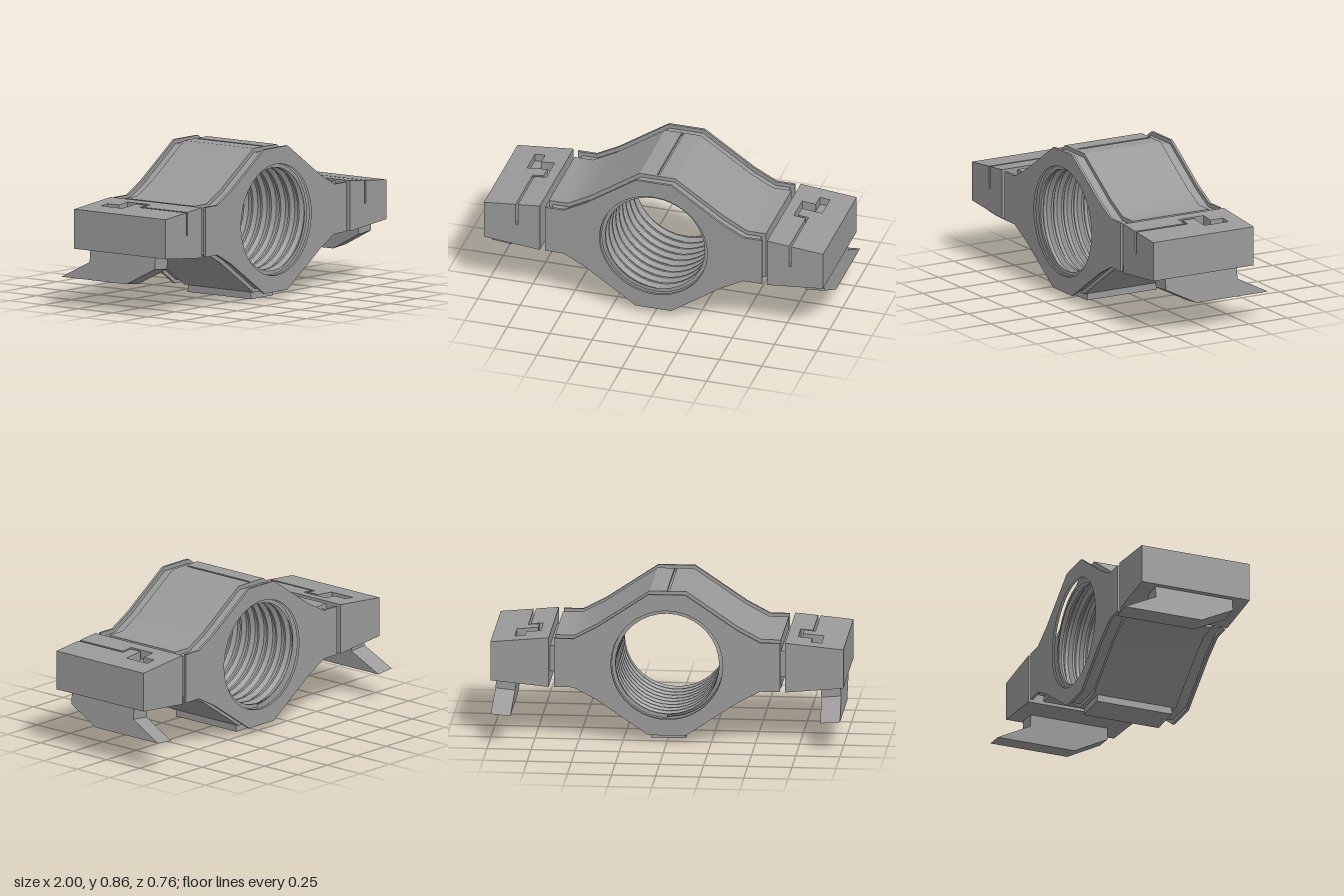
import * as THREE from 'three';
import { toCreasedNormals } from 'three/addons/utils/BufferGeometryUtils.js';

const material = new THREE.MeshStandardMaterial({ color: 0x9a9a9a });
const threadMaterial = new THREE.MeshStandardMaterial({ color: 0x9a9a9a, side: THREE.DoubleSide });
const CY = 0.452; // height of the bore axis

const shapeOf = (pts) => new THREE.Shape(pts.map(([x, y]) => new THREE.Vector2(x, y)));

const extrude = (shape, depth) =>
  new THREE.ExtrudeGeometry(shape, { depth, bevelEnabled: false, curveSegments: 40 });

// Moves every vertex by a rule, then restores flat normals.
function reshape(geometry, rule) {
  const p = geometry.attributes.position;
  const v = new THREE.Vector3();
  for (let i = 0; i < p.count; i++) {
    rule(v.fromBufferAttribute(p, i));
    p.setXYZ(i, v.x, v.y, v.z);
  }
  geometry.computeVertexNormals();
  return geometry;
}

function add(parent, name, geometry, mat = material) {
  const mesh = new THREE.Mesh(geometry, mat);
  mesh.name = name;
  parent.add(mesh);
}

// Symmetric body outline from one quarter; slot cuts a notch in the top.
function bodyShape(quarter, slot) {
  const flip = (sx, sy) => quarter.map(([x, y]) => [x * sx, CY + y * sy]);
  const top = CY + quarter[0][1];
  const notch = slot
    ? [[-0.007, top], [-0.007, top - 0.012], [0.007, top - 0.012], [0.007, top]]
    : [];
  const shape = shapeOf([
    ...notch,
    ...flip(1, 1),
    ...flip(1, -1).reverse(),
    ...flip(-1, -1),
    ...flip(-1, 1).reverse(),
  ]);
  shape.holes.push(new THREE.Path().absarc(0, CY, 0.317, 0, Math.PI * 2, true));
  return shape;
}

function addBody(root) {
  const body = new THREE.Group();
  body.name = 'body';
  root.add(body);
  const full = [[0.105, 0.411], [0.4, 0.211], [0.53, 0.142], [0.64, 0.142]];
  const inset = [[0.1, 0.388], [0.39, 0.19], [0.525, 0.119], [0.613, 0.119]];
  const layers = [
    ['backFlange', full, -0.28, -0.265],
    ['backGroove', inset, -0.265, -0.2],
    ['backShell', full, -0.2, -0.19],
    ['slottedShell', full, -0.19, 0.28, true],
    ['frontShell', full, 0.28, 0.3],
    ['frontGroove', inset, 0.3, 0.365],
    ['frontFlange', full, 0.365, 0.38],
  ];
  for (const [name, quarter, z0, z1, slot] of layers) {
    const g = extrude(bodyShape(quarter, slot), z1 - z0).translate(0, 0, z0);
    add(body, name, toCreasedNormals(g, 0.54));
  }
}

// Helical thread: a trapezoid profile turned round the bore, rising one pitch per turn.
function addThread(root) {
  const z0 = -0.25, z1 = 0.35, turns = 9, seg = 36;
  const pitch = (z1 - z0) / turns;
  const profile = [];
  for (let k = -1; k <= turns; k++) {
    for (const [t, r] of [[0, 0.294], [0.2, 0.294], [0.45, 0.316], [0.75, 0.316]]) {
      profile.push(new THREE.Vector2(r, z0 + (k + t) * pitch));
    }
  }
  const g = new THREE.LatheGeometry(profile, seg);
  const p = g.attributes.position;
  for (let i = 0; i < p.count; i++) {
    const rise = (Math.floor(i / profile.length) / seg) * pitch;
    p.setY(i, THREE.MathUtils.clamp(p.getY(i) + rise, z0, z1));
  }
  g.rotateX(Math.PI / 2).translate(0, CY, 0);
  add(root, 'boreThread', toCreasedNormals(g, 0.35), threadMaterial);
}

function addEnd(root, s) {
  const end = new THREE.Group();
  end.name = s > 0 ? 'leftEnd' : 'rightEnd';
  root.add(end);

  // Neck joining the end block to the body
  add(end, 'neck', new THREE.BoxGeometry(0.1, 0.15, 0.47).translate(s * 0.655, CY, 0.045));

  // Lower half of the tapered block
  const lower = [[0.67, 0.309], [1, 0.34], [1, CY], [0.67, CY]].map(([x, y]) => [x * s, y]);
  add(end, 'lowerBlock', extrude(shapeOf(lower), 0.66).translate(0, 0, -0.28));

  // Upper half, whose plan holds the stepped slot open at the front
  const plan = [
    [0.67, -0.28], [1, -0.28], [1, 0.38], [0.813, 0.38], [0.813, 0.042], [0.75, 0.042],
    [0.75, -0.035], [0.87, -0.035], [0.87, -0.19], [0.81, -0.19], [0.81, -0.11],
    [0.73, -0.11], [0.73, 0.055], [0.8, 0.055], [0.8, 0.38], [0.67, 0.38],
  ].map(([x, z]) => [x * s, -z]);
  const upper = extrude(shapeOf(plan), 0.145).rotateX(-Math.PI / 2).translate(0, CY, 0);
  add(end, 'upperBlock', reshape(upper, (v) => {
    if (v.y > CY + 0.1) v.y -= (Math.abs(v.x) - 0.67) * 0.095;
  }));

  // Raised floor of the wide part of the slot
  add(end, 'slotFloor',
    new THREE.BoxGeometry(0.16, 0.085, 0.25).translate(s * 0.8, CY + 0.0425, -0.07));

  // Swept fin under the block, leaning with the block's taper
  const profile = [
    [0.285, 0.36], [0.285, 0.27], [0.09, 0.17], [-0.38, 0.17], [-0.185, 0.27], [-0.185, 0.36],
  ].map(([z, y]) => [-z, y]);
  const fin = extrude(shapeOf(profile), 0.112)
    .rotateY(Math.PI / 2)
    .translate(s > 0 ? 0.861 : -0.973, 0, 0);
  add(end, 'fin', reshape(fin, (v) => {
    const y = v.y;
    v.y += (Math.abs(v.x) - 0.973) * 0.09;
    v.x += s * (0.34 - y) * 0.1;
  }));
}

export function createModel() {
  const root = new THREE.Group();
  root.name = 'threadedCollar';
  addBody(root);
  addThread(root);
  addEnd(root, 1);
  addEnd(root, -1);

  // Foot pad, slightly longer at the ground
  const foot = new THREE.BoxGeometry(0.2, 0.05, 0.45).translate(0, 0.025, 0.05);
  add(root, 'foot', reshape(foot.toNonIndexed(), (v) => {
    if (v.y < 0.01) v.z += Math.sign(v.z - 0.05) * 0.004;
  }));
  return root;
}
